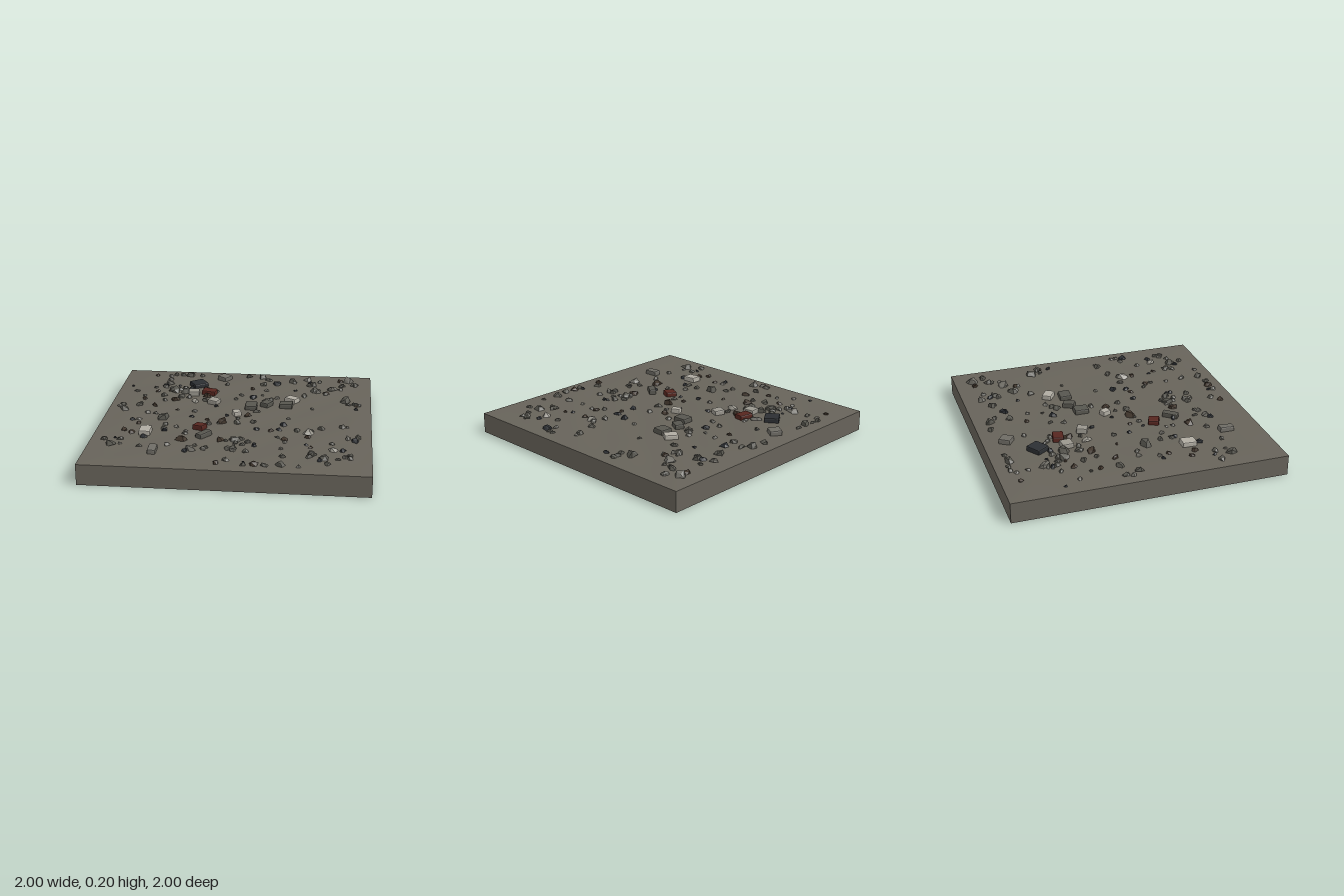
import * as THREE from 'three';
import { RoundedBoxGeometry } from 'three/addons/geometries/RoundedBoxGeometry.js';
import { ConvexGeometry } from 'three/addons/geometries/ConvexGeometry.js';

// Small seeded generator for repeatable rubble
let seed = 7;
function random() {
  seed = (seed * 16807) % 2147483647;
  return seed / 2147483647;
}
const range = (a, b) => a + (b - a) * random();
const pick = (list) => list[Math.floor(random() * list.length)];

const paint = (color) => new THREE.MeshStandardMaterial({ color, flatShading: true });
const paints = {
  slab: new THREE.MeshStandardMaterial({ color: 0x67635a }),
  grey: paint(0x57564f),
  mid: paint(0x6e6c65),
  light: paint(0x9a978e),
  pale: paint(0xb0aca2),
  dark: paint(0x2c2f33),
  brown: paint(0x42372d),
  red: paint(0x57261f),
};

// Gentle ground relief, fading to nothing at the slab rim
function groundHeight(x, z) {
  const rim = Math.min(1, 6 * Math.max(0, 1 - Math.max(Math.abs(x), Math.abs(z))));
  const wave = Math.sin(x * 7 + 1) * Math.cos(z * 6) + 0.5 * Math.sin(x * 15 + z * 13);
  return 0.15 + rim * (0.005 + 0.002 * wave);
}

function makeSlab() {
  const geometry = new THREE.BoxGeometry(2, 0.15, 2, 48, 1, 48);
  geometry.translate(0, 0.075, 0);
  const p = geometry.attributes.position;
  for (let i = 0; i < p.count; i++) {
    if (p.getY(i) > 0.1) p.setY(i, groundHeight(p.getX(i), p.getZ(i)));
  }
  geometry.computeVertexNormals();
  const slab = new THREE.Mesh(geometry, paints.slab);
  slab.name = 'groundSlab';
  return slab;
}

// Worn block: x, z, width, depth, turn, tone
const BLOCKS = [
  [-0.19, -0.83, 0.09, 0.09, -0.6, 'mid'],
  [-0.38, -0.65, 0.12, 0.11, 0.6, 'dark'],
  [-0.39, -0.44, 0.085, 0.085, 0.1, 'light'],
  [-0.27, -0.47, 0.11, 0.08, -0.2, 'red'],
  [-0.21, -0.27, 0.08, 0.08, -0.4, 'light'],
  [0.39, -0.36, 0.1, 0.075, -0.6, 'pale'],
  [0.35, -0.24, 0.1, 0.09, -0.05, 'grey'],
  [0.2, -0.25, 0.07, 0.09, -0.5, 'grey'],
  [0.085, -0.19, 0.09, 0.11, 0, 'grey'],
  [-0.25, 0.27, 0.085, 0.08, -0.4, 'red'],
  [-0.2, 0.42, 0.055, 0.12, -0.65, 'grey'],
  [-0.63, 0.39, 0.085, 0.11, 0, 'pale'],
  [-0.52, 0.73, 0.06, 0.11, 0, 'mid'],
  [-0.01, -0.03, 0.06, 0.07, 0.4, 'pale'],
];

function makeBlock([x, z, w, d, turn, tone]) {
  const h = 0.042;
  const block = new THREE.Mesh(new RoundedBoxGeometry(w, h, d, 1, 0.009), paints[tone]);
  block.position.set(x, groundHeight(x, z) + h * 0.34, z);
  block.rotation.set(range(-0.06, 0.06), turn, range(-0.06, 0.06));
  block.name = 'brokenBlock';
  return block;
}

// Six angular rock shapes: hulls of jittered points, one unit across
const rockShapes = Array.from({ length: 6 }, () => {
  const points = [];
  for (let i = 0; i < 10; i++) {
    const a = (i % 5) * Math.PI * 0.4 + range(-0.35, 0.35);
    const r = i < 5 ? range(0.44, 0.56) : range(0.16, 0.42);
    const y = i < 5 ? range(-0.28, 0) : range(0.08, 0.34);
    points.push(new THREE.Vector3(Math.cos(a) * r, y, Math.sin(a) * r));
  }
  return new ConvexGeometry(points);
});

function makeRock(x, z, size, tone, name) {
  const rock = new THREE.Mesh(pick(rockShapes), paints[tone]);
  rock.scale.set(size * range(0.85, 1.15), size * range(0.75, 1.05), size * range(0.7, 1));
  rock.position.set(x, groundHeight(x, z) + size * 0.12, z);
  rock.rotation.set(range(-0.2, 0.2), range(0, 6.28), range(-0.2, 0.2));
  rock.name = name;
  return rock;
}

// Main rocks as x, z pairs by tone
const ROCKS = {
  grey: [
    [-0.48, -0.88], [0.12, -0.88], [0.56, -0.6], [-0.55, -0.5], [-0.46, -0.48], [-0.87, -0.06],
    [0.8, -0.39], [-0.55, 0.1], [0.03, 0.48], [-0.83, 0.64], [0.67, 0.75], [0.38, 0.88],
  ],
  mid: [[-0.61, -0.66], [0.69, -0.65], [0.49, -0.86], [-0.26, 0.68], [0.82, -0.86]],
  brown: [[-0.52, -0.3], [-0.28, -0.4], [-0.35, 0.51], [-0.07, 0.49], [0.2, 0.89], [-0.1, 0.14], [0.08, 0]],
  dark: [[0.25, -0.74], [0.08, -0.41], [0.88, 0.41]],
  light: [[-0.36, -0.28], [0.54, 0.3], [0.73, 0.6]],
};

// Each main rock has smaller chips broken off around it
function makeRocks() {
  const rocks = new THREE.Group();
  rocks.name = 'rocks';
  for (const [tone, spots] of Object.entries(ROCKS)) {
    for (const [x, z] of spots) {
      rocks.add(makeRock(x, z, range(0.075, 0.095), tone, 'largeRock'));
      for (let i = 0; i < 2; i++) {
        const a = range(0, 6.28);
        const r = range(0.08, 0.16);
        const cx = THREE.MathUtils.clamp(x + r * Math.cos(a), -0.9, 0.9);
        const cz = THREE.MathUtils.clamp(z + r * Math.sin(a), -0.9, 0.9);
        rocks.add(makeRock(cx, cz, range(0.045, 0.065), 'grey', 'rockChip'));
      }
    }
  }
  return rocks;
}

// Loose pebbles scattered between the larger pieces
function makePebbles() {
  const pebbles = new THREE.Group();
  pebbles.name = 'pebbles';
  for (let i = 0; i < 105; i++) {
    const tone = pick(['grey', 'grey', 'mid', 'dark', 'brown']);
    pebbles.add(makeRock(range(-0.92, 0.92), range(-0.9, 0.9), range(0.03, 0.06), tone, 'pebble'));
  }
  return pebbles;
}

export function createModel() {
  const model = new THREE.Group();
  model.name = 'rubbleGround';
  const blocks = new THREE.Group();
  blocks.name = 'brokenBlocks';
  BLOCKS.forEach((b) => blocks.add(makeBlock(b)));
  model.add(makeSlab(), blocks, makeRocks(), makePebbles());
  return model;
}
